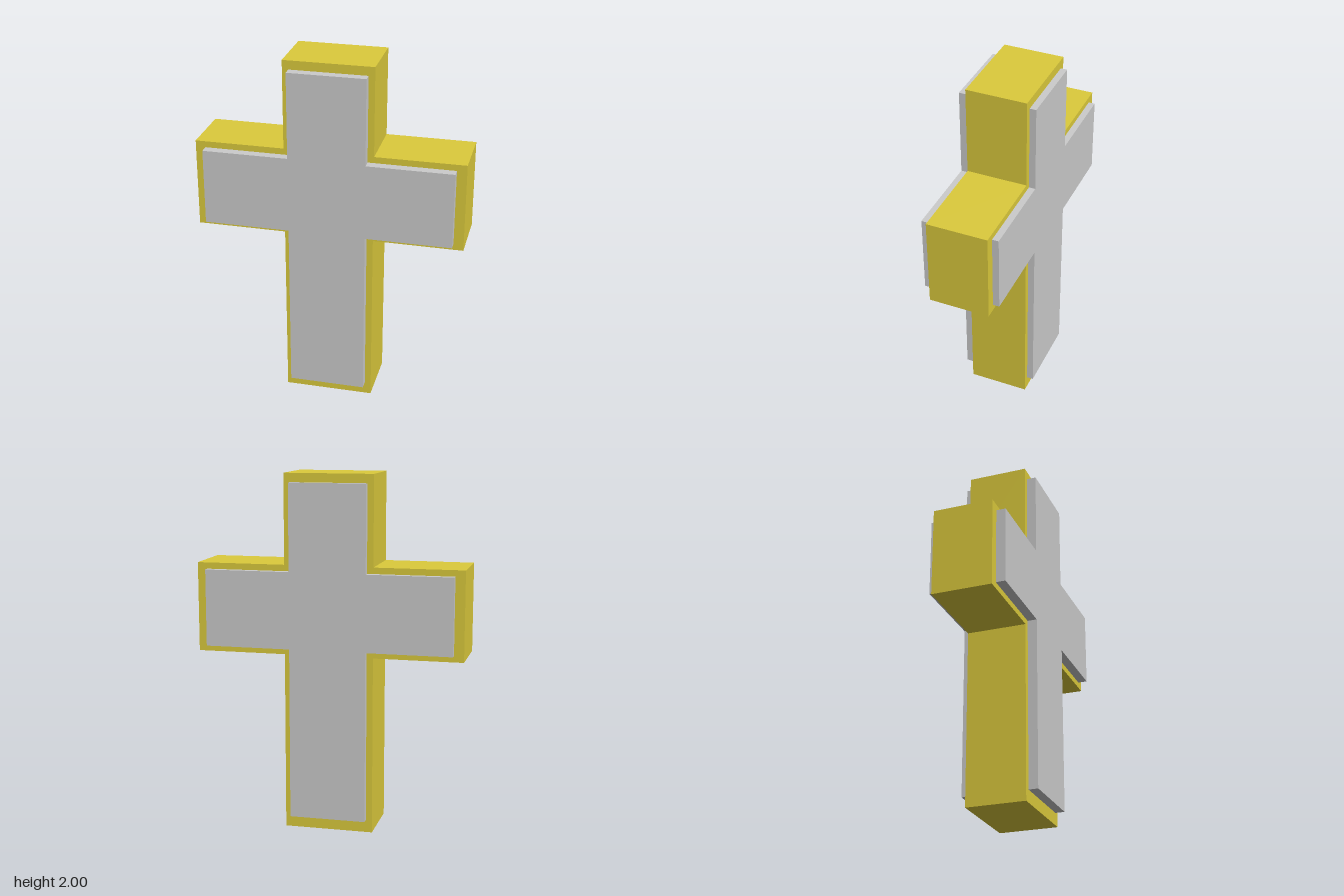
import * as THREE from 'three';

// Latin cross outline: post half-width, arm half-span, and the four heights
function crossShape(post, arm, bottom, armBottom, armTop, top) {
  const half = [[post, bottom], [post, armBottom], [arm, armBottom], [arm, armTop], [post, armTop], [post, top]];
  const mirrored = half.map(([x, y]) => [-x, y]).reverse();
  return new THREE.Shape([...half, ...mirrored].map(([x, y]) => new THREE.Vector2(x, y)));
}

// Extrude a cross between two depths
function crossMesh(name, shape, zBack, zFront, color) {
  const geometry = new THREE.ExtrudeGeometry(shape, { depth: zFront - zBack, bevelEnabled: false });
  geometry.translate(0, 0, zBack);
  const mesh = new THREE.Mesh(geometry, new THREE.MeshStandardMaterial({ color }));
  mesh.name = name;
  return mesh;
}

export function createModel() {
  const group = new THREE.Group();
  group.name = 'cross';

  // Yellow outer body
  group.add(crossMesh('outerCross', crossShape(0.25, 0.75, 0, 1, 1.5, 2), -0.177, 0.16, 0xdccb3c));

  // Slimmer grey core, standing proud of the body at front and back
  group.add(crossMesh('innerCross', crossShape(0.215, 0.695, 0.07, 1.035, 1.465, 1.95), -0.213, 0.213, 0xcccccc));

  return group;
}
